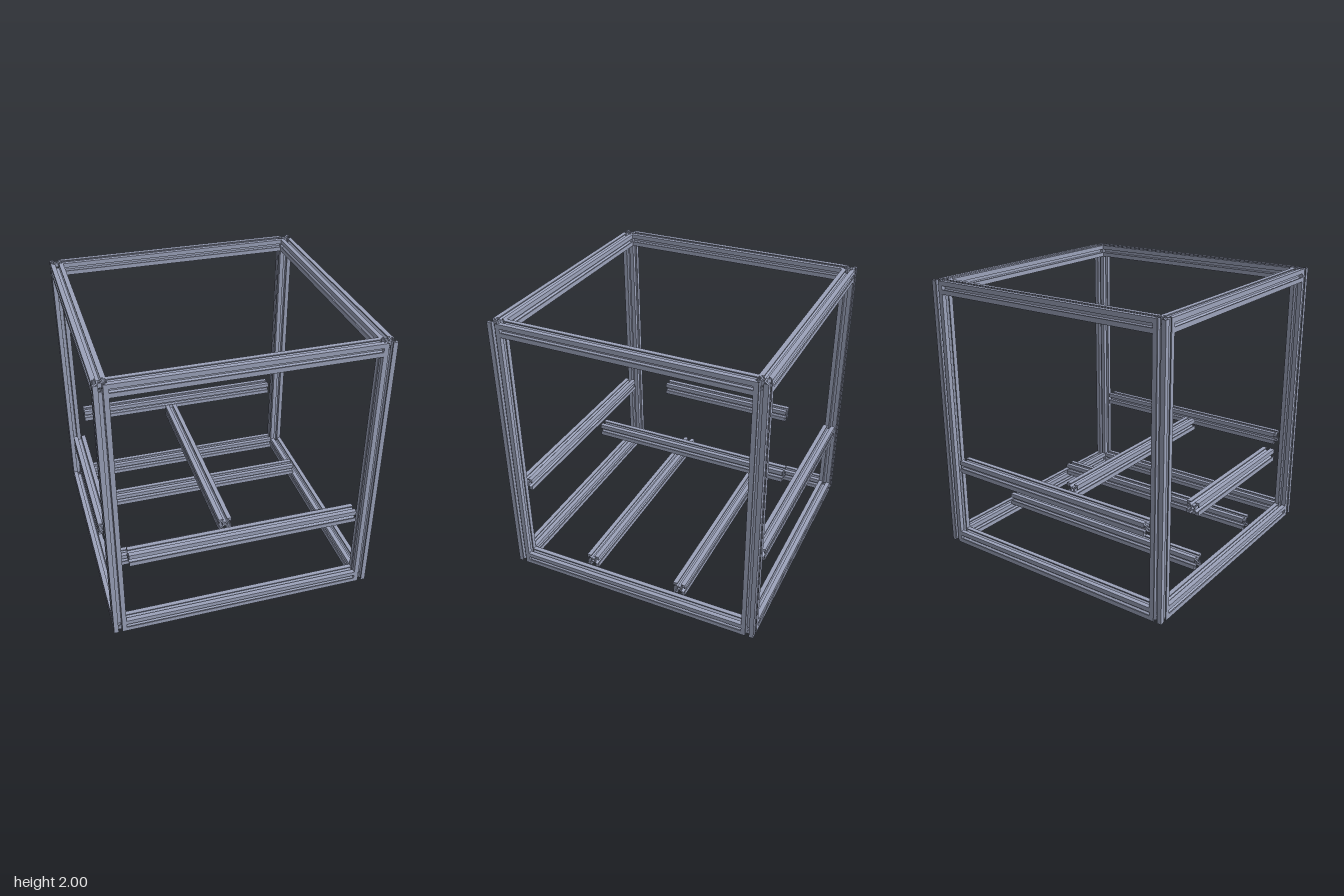
import * as THREE from 'three';

const SIZE = 0.092, U = SIZE / 20; // bar width and one profile unit
const EDGE = 0.95 - SIZE / 2;      // centre line of the outer frame
const SPAN = 2 * (0.95 - SIZE);    // clear length between posts

// One quarter of the slotted profile, from the +x slot floor round to the +y slot floor
const half = [[3.9, 2.4], [7.5, 6], [8.5, 6], [8.5, 3], [10, 3]];
const quarter = [...half, [10, 10], ...half.map(([x, y]) => [y, x]).reverse()];

function turned(points, k) {
  const a = k * Math.PI / 2, c = Math.round(Math.cos(a)), s = Math.round(Math.sin(a));
  return points.map(([x, y]) => new THREE.Vector2((x * c - y * s) * U, (x * s + y * c) * U));
}

// Full section with a central bore
const fullSection = new THREE.Shape([0, 1, 2, 3].flatMap(k => turned(quarter, k)));
fullSection.holes.push(new THREE.Path().absarc(0, 0, 2.1 * U, 0, Math.PI * 2, true));

// Section at the drilled holes: four corners without the core walls
const drilledSection = [0, 1, 2, 3].map(k => new THREE.Shape(turned([...quarter, [2.4, 2.4]], k)));

function extrude(section, length, start = -length / 2) {
  const g = new THREE.ExtrudeGeometry(section, { depth: length, bevelEnabled: false, curveSegments: 6 });
  return g.translate(0, 0, start);
}

export function createModel() {
  const model = new THREE.Group();
  const aluminium = new THREE.MeshStandardMaterial({ color: 0x9ca3bb });
  aluminium.name = 'brushedAluminium';

  function add(name, geometry, x, y, z, parent = model) {
    const mesh = new THREE.Mesh(geometry, aluminium);
    mesh.name = name;
    mesh.position.set(x, y, z);
    parent.add(mesh);
    return mesh;
  }
  const barX = (name, length, x, y, z) => add(name, extrude(fullSection, length).rotateY(Math.PI / 2), x, y, z);
  const barZ = (name, length, x, y, z) => add(name, extrude(fullSection, length), x, y, z);

  // Corner posts, drilled crosswise near both ends
  const low = SIZE / 2, high = 2 - SIZE / 2, r = 0.014;
  const cuts = [0, low - r, low + r, high - r, high + r, 2];
  for (const sx of [-1, 1]) for (const sz of [-1, 1]) {
    const post = new THREE.Group();
    post.name = `${sz > 0 ? 'front' : 'back'}${sx > 0 ? 'Left' : 'Right'}Post`;
    for (let i = 0; i < 5; i++) {
      const section = i % 2 ? drilledSection : fullSection;
      const g = extrude(section, cuts[i + 1] - cuts[i], cuts[i]).rotateX(-Math.PI / 2);
      add(i % 2 ? 'drilledSection' : 'postSection', g, 0, 0, 0, post);
    }
    post.position.set(sx * EDGE, 0, sz * EDGE);
    model.add(post);
  }

  // Top and bottom rings
  for (const [level, y] of [['bottom', low], ['top', high]]) {
    for (const s of [-1, 1]) {
      barX(`${level}${s > 0 ? 'Front' : 'Back'}Rail`, SPAN, 0, y, s * EDGE);
      barZ(`${level}${s > 0 ? 'Left' : 'Right'}Rail`, SPAN, s * EDGE, y, 0);
    }
  }

  // Floor cross bars and front and back middle bars
  for (const s of [-1, 1]) {
    const side = s > 0 ? 'front' : 'back';
    barX(`${side}FloorCrossBar`, SPAN, 0, 0.14, s * 0.35);
    barX(`${side}MiddleBar`, 1.62, 0, 0.64, s * EDGE);
  }

  // Lengthwise middle bars
  barZ('centreMiddleBar', 1.54, -0.095, 0.64, 0);
  barZ('rightMiddleBar', 1.1, -EDGE, 0.64, 0.03);

  return model;
}
